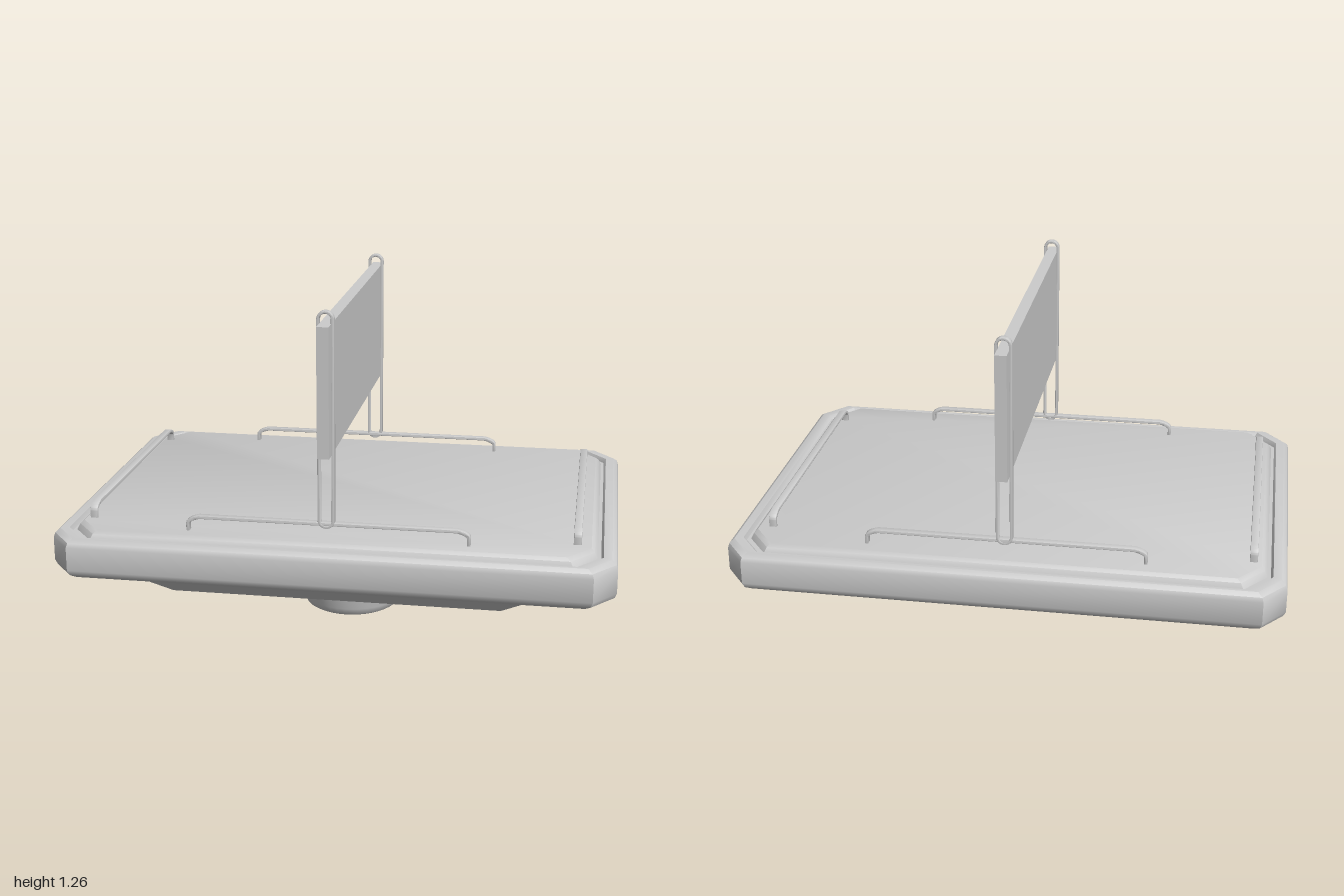
import * as THREE from 'three';
import { toCreasedNormals } from 'three/addons/utils/BufferGeometryUtils.js';

const grey = new THREE.MeshStandardMaterial({ color: 0xcccccc });
const CX = -0.01; // fittings sit slightly off the slab's centre

function add(parent, name, geometry, x = 0, y = 0, z = 0) {
  const mesh = new THREE.Mesh(geometry, grey);
  mesh.name = name;
  mesh.position.set(x, y, z);
  parent.add(mesh);
  return mesh;
}

// Skin a stack of corner-cut rectangles [halfX, halfZ, y], listed from bottom to top
function loftCutRects(levels, cutX, cutZ) {
  const pos = [], index = [];
  for (const [x, z, y] of levels) {
    const a = x - cutX, b = z - cutZ;
    for (const [px, pz] of [[x, b], [x, -b], [a, -z], [-a, -z], [-x, -b], [-x, b], [-a, z], [a, z]]) pos.push(px, y, pz);
  }
  const last = (levels.length - 1) * 8;
  for (let k = 0; k < last; k += 8) {
    for (let i = 0; i < 8; i++) {
      const j = (i + 1) % 8;
      index.push(k + i, k + j, k + 8 + j, k + i, k + 8 + j, k + 8 + i);
    }
  }
  for (let i = 1; i < 7; i++) {
    index.push(0, i + 1, i, last, last + i, last + i + 1); // bottom and top caps
  }
  const g = new THREE.BufferGeometry();
  g.setAttribute('position', new THREE.Float32BufferAttribute(pos, 3));
  g.setIndex(index);
  return toCreasedNormals(g, 0.6);
}

// Extrude a strip outline, centred on its depth, with softened edges
function strip(shape) {
  const depth = 0.022, bevel = 0.003;
  const g = new THREE.ExtrudeGeometry(shape, {
    depth, bevelThickness: bevel, bevelSize: bevel, bevelOffset: -bevel, bevelSegments: 2, curveSegments: 10,
  });
  return toCreasedNormals(g.translate(0, 0, -depth / 2), 0.7);
}

// Low rail: a bar with rounded ends coming down to the deck
function railGeometry() {
  const h = 0.505, top = 0.06, t = 0.012, r = 0.045;
  const s = new THREE.Shape();
  s.moveTo(-h, 0);
  s.lineTo(-h, 0.03);
  s.quadraticCurveTo(-h, top - 0.01, -h + r, top);
  s.lineTo(h - r, top);
  s.quadraticCurveTo(h, top - 0.01, h, 0.03);
  s.lineTo(h, 0);
  s.lineTo(h - t, 0);
  s.lineTo(h - t, 0.027);
  s.quadraticCurveTo(h - t, top - t - 0.008, h - r - 0.005, top - t);
  s.lineTo(-h + r + 0.005, top - t);
  s.quadraticCurveTo(-h + t, top - t - 0.008, -h + t, 0.027);
  s.lineTo(-h + t, 0);
  s.closePath();
  return strip(s);
}

// Tall closed loop with round ends
function loopGeometry(bottom, top, radius, thickness) {
  const stadium = (path, r) => {
    path.absarc(0, top - radius, r, 0, Math.PI, false);
    path.absarc(0, bottom + radius, r, Math.PI, Math.PI * 2, false);
    path.closePath();
    return path;
  };
  const s = stadium(new THREE.Shape(), radius);
  s.holes.push(stadium(new THREE.Path(), radius - thickness));
  return strip(s);
}

export function createModel() {
  const model = new THREE.Group();
  model.name = 'platform';

  // Slab with rounded edge, shallow groove and raised deck
  add(model, 'deckSlab', loftCutRects([
    [0.955, 0.66, 0.29], [0.975, 0.68, 0.293], [0.993, 0.698, 0.306], [1, 0.705, 0.325],
    [1, 0.705, 0.41], [0.995, 0.70, 0.427], [0.98, 0.685, 0.44], [0.95, 0.672, 0.44],
    [0.942, 0.662, 0.425], [0.93, 0.65, 0.425], [0.92, 0.642, 0.445], [0.908, 0.63, 0.456],
  ], 0.08, 0.1));

  // Tapered underside
  add(model, 'underside', loftCutRects([[0.68, 0.477, 0.18], [0.845, 0.597, 0.292]], 0.08, 0.1));

  // Low rails along all four edges
  const rail = railGeometry();
  for (const s of [1, -1]) {
    add(model, s > 0 ? 'frontRail' : 'backRail', rail, CX, 0.452, s * 0.566);
    add(model, s > 0 ? 'leftRail' : 'rightRail', rail, CX + s * 0.87, 0.452, 0).rotation.y = Math.PI / 2;
  }

  // Upright panel held by two looped posts
  const post = loopGeometry(0.49, 1.265, 0.03, 0.01);
  add(model, 'frontPost', post, CX, 0, 0.568);
  add(model, 'backPost', post, CX, 0, -0.568);
  add(model, 'panel', new THREE.BoxGeometry(0.042, 0.46, 1.26), CX, 0.99, 0);

  // Hollow cups underneath, the outer two tilted outwards
  const profile = [
    [0, 0.1], [0.095, 0.1], [0.105, 0.06], [0.117, 0.025], [0.127, 0.01], [0.145, 0.001], [0.165, 0],
    [0.178, 0.008], [0.185, 0.03], [0.2, 0.09], [0.21, 0.14], [0.215, 0.18], [0.215, 0.24],
  ].map(([r, y]) => new THREE.Vector2(r, y));
  const cup = new THREE.LatheGeometry(profile, 40);
  const tilt = 0.32;
  add(model, 'centreCup', cup, CX, 0, 0.017);
  add(model, 'leftCup', cup, CX + 0.505, 0.075, 0.017).rotation.z = tilt;
  add(model, 'rightCup', cup, CX - 0.505, 0.075, 0.017).rotation.z = -tilt;

  return model;
}
